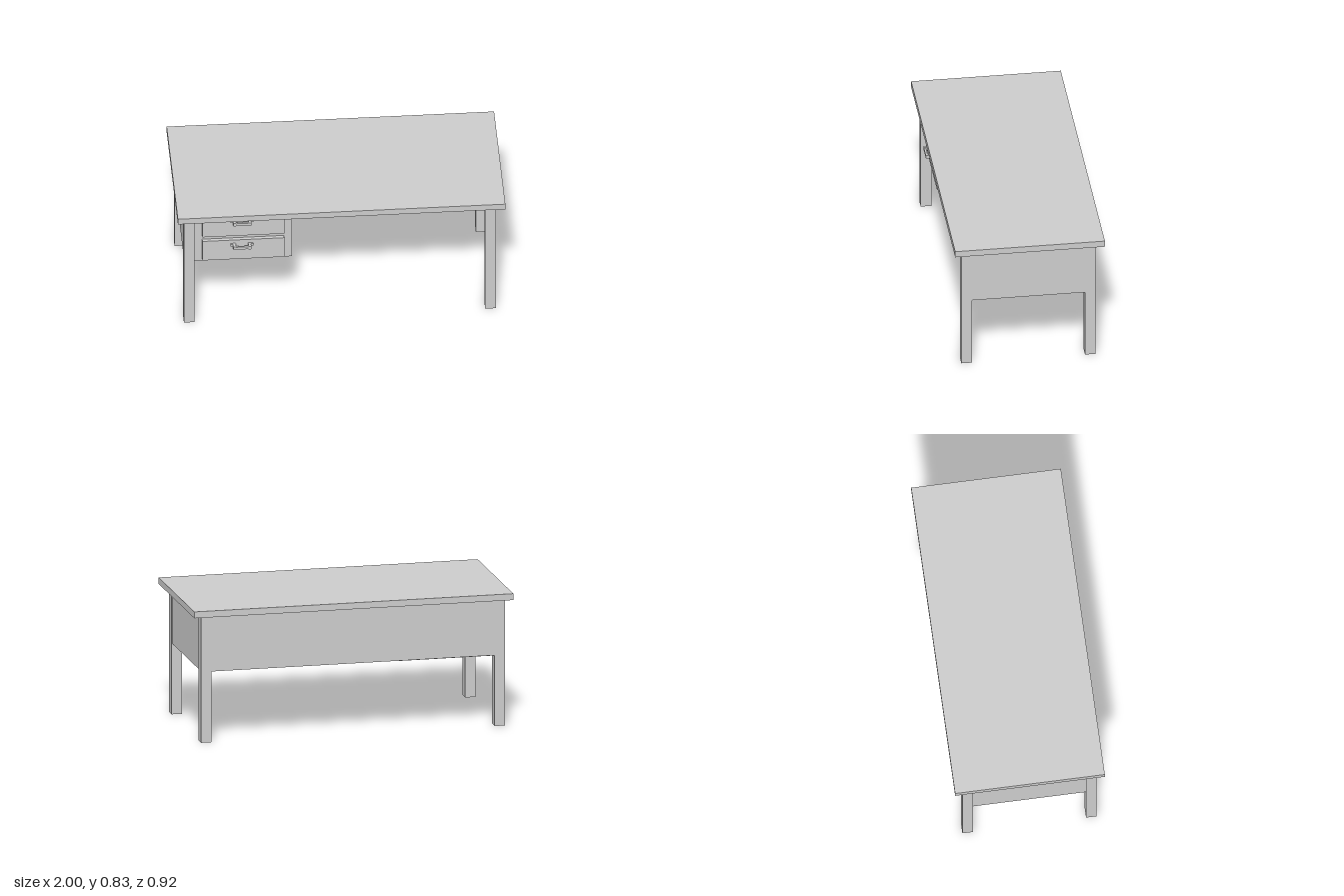
import * as THREE from 'three';

export function createModel() {
  const desk = new THREE.Group();
  desk.name = 'desk';
  const mat = new THREE.MeshStandardMaterial({ color: 0xcccccc });

  // Box given by its extents along each axis
  function box(name, [x0, x1], [y0, y1], [z0, z1], parent = desk) {
    const mesh = new THREE.Mesh(new THREE.BoxGeometry(x1 - x0, y1 - y0, z1 - z0), mat);
    mesh.position.set((x0 + x1) / 2, (y0 + y1) / 2, (z0 + z1) / 2);
    mesh.name = name;
    parent.add(mesh);
    return mesh;
  }

  box('tabletop', [-1, 1], [0.795, 0.835], [-0.46, 0.46]);

  // Four square legs
  const legX = { right: [-0.96, -0.895], left: [0.88, 0.945] };
  const legZ = { Front: [0.35, 0.415], Back: [-0.41, -0.345] };
  for (const side in legX)
    for (const end in legZ) box(`${side}${end}Leg`, legX[side], [0, 0.795], legZ[end]);

  // Thin panels between the legs
  box('rightPanel', [-0.955, -0.94], [0.442, 0.795], [-0.345, 0.35]);
  box('leftPanel', [0.925, 0.94], [0.442, 0.795], [-0.345, 0.35]);
  box('backPanel', [-0.895, 0.88], [0.442, 0.795], [-0.405, -0.39]);

  // Drawer cabinet under the right end
  box('drawerCabinet', [-0.895, -0.295], [0.437, 0.795], [-0.39, 0.367]);

  // Two drawers, each with a bracket handle
  [['lower', 0.453, 0.6], ['upper', 0.632, 0.782]].forEach(([level, y0, y1]) => {
    const drawer = new THREE.Group();
    drawer.name = `${level}Drawer`;
    desk.add(drawer);
    box('drawerFront', [-0.845, -0.345], [y0, y1], [0.36, 0.39], drawer);

    const y = y1 - 0.035; // handle height
    for (const s of [-1, 1]) {
      const cx = -0.604;
      const span = (a, b) => (s < 0 ? [cx - b, cx - a] : [cx + a, cx + b]);
      box('handleFoot', span(0.038, 0.069), [y - 0.009, y + 0.009], [0.388, 0.398], drawer);
      box('handlePost', span(0.038, 0.055), [y - 0.011, y + 0.011], [0.388, 0.43], drawer);
    }
    box('handleBar', [-0.645, -0.563], [y - 0.009, y + 0.009], [0.418, 0.43], drawer);
  });

  return desk;
}
